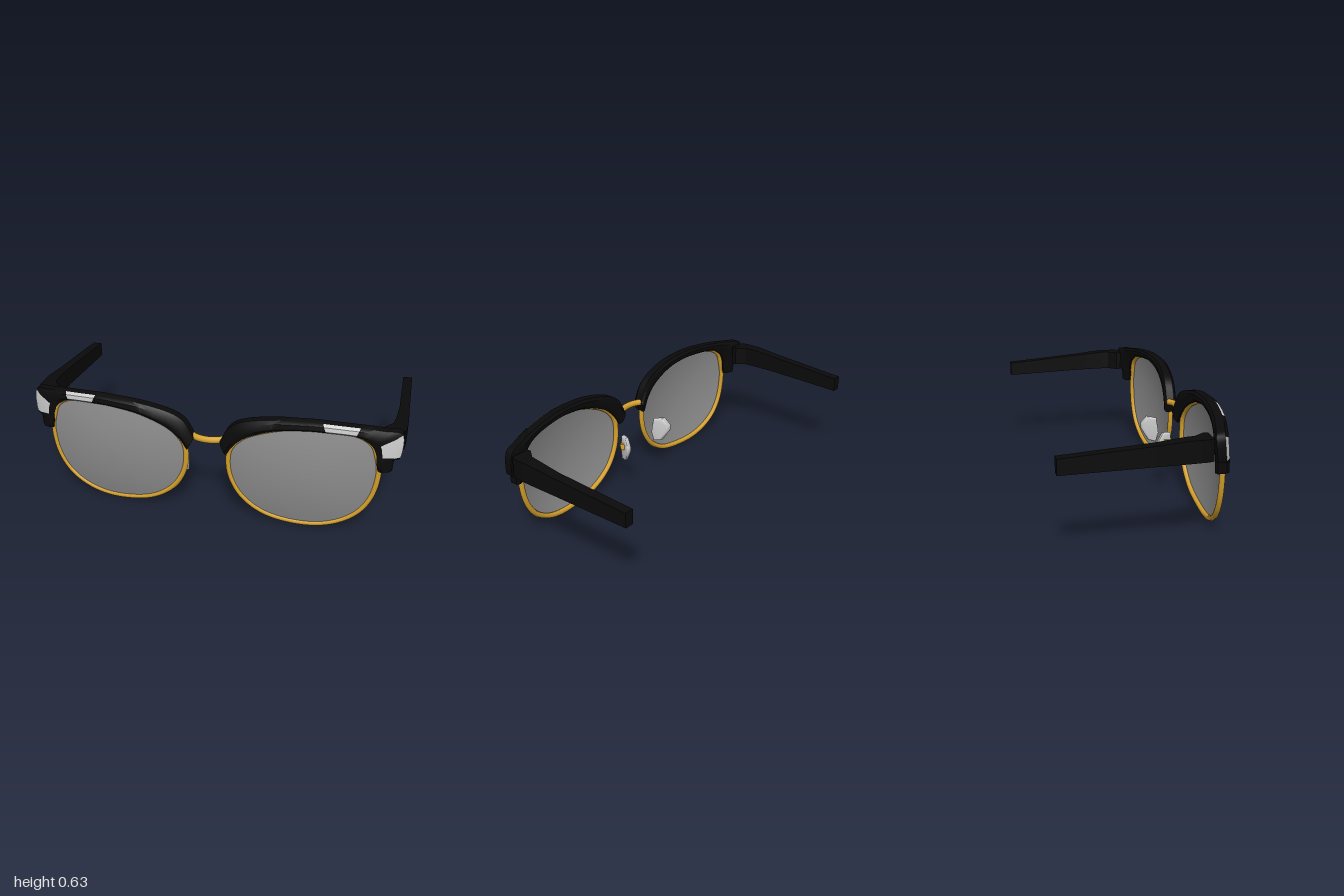
import * as THREE from 'three';
import { toCreasedNormals } from 'three/addons/utils/BufferGeometryUtils.js';

const mat = (color, extra = {}) => new THREE.MeshStandardMaterial({ color, ...extra });
const V = (x, y, z = 0) => new THREE.Vector3(x, y, z);

// Curved sheet that lens, rim and brow all follow
const sheet = (x, y) => 0.44 - 0.33 * (x - 0.42) ** 2 - 0.3 * (y - 0.35) ** 2;

function mesh(name, geometry, material) {
  const m = new THREE.Mesh(geometry, material);
  m.name = name;
  return m;
}

// Skin a list of closed rings; keep(i, k) chooses which quads are included
function loft(rings, crease, keep = () => true, caps = true) {
  const out = [];
  const tri = (...pts) => pts.forEach((p) => out.push(p.x, p.y, p.z));
  const n = rings[0].length;
  for (let i = 0; i < rings.length - 1; i++) {
    for (let k = 0; k < n; k++) {
      if (!keep(i, k)) continue;
      const a = rings[i][k], b = rings[i][(k + 1) % n];
      const d = rings[i + 1][k], c = rings[i + 1][(k + 1) % n];
      tri(a, d, c);
      tri(a, c, b);
    }
  }
  if (caps) {
    const first = rings[0], last = rings[rings.length - 1];
    for (let k = 1; k < n - 1; k++) {
      tri(first[0], first[k], first[k + 1]);
      tri(last[0], last[k + 1], last[k]);
    }
  }
  const g = new THREE.BufferGeometry();
  g.setAttribute('position', new THREE.Float32BufferAttribute(out, 3));
  return toCreasedNormals(g, crease);
}

const spline = (pts, closed = false) =>
  new THREE.CatmullRomCurve3(pts.map(([x, y]) => V(x, y)), closed, 'catmullrom', 0.5);

// Lens outline, counter-clockwise from the outer side
const outline = spline([
  [0.885, 0.36], [0.87, 0.46], [0.84, 0.53], [0.76, 0.58], [0.62, 0.597], [0.5, 0.597],
  [0.36, 0.572], [0.22, 0.515], [0.14, 0.44], [0.115, 0.36], [0.13, 0.24], [0.2, 0.125],
  [0.33, 0.045], [0.52, 0.018], [0.67, 0.04], [0.79, 0.11], [0.86, 0.22],
], true);

// Upper and lower edges of the brow, paired point by point
const browUpper = spline([
  [0.07, 0.45], [0.12, 0.54], [0.2, 0.59], [0.35, 0.625], [0.5, 0.635], [0.6, 0.635],
  [0.78, 0.62], [0.9, 0.602], [0.985, 0.58], [0.985, 0.46], [0.957, 0.45], [0.95, 0.385],
]);
const browLower = spline([
  [0.105, 0.38], [0.15, 0.45], [0.22, 0.51], [0.35, 0.565], [0.5, 0.588], [0.62, 0.588],
  [0.76, 0.575], [0.82, 0.545], [0.85, 0.515], [0.868, 0.47], [0.872, 0.43], [0.88, 0.385],
]);
const STEP = 4;

function browRings() {
  const section = [[0, -0.6], [0, 0.6], [0.25, 1], [0.75, 1], [1, 0.6], [1, -0.6], [0.75, -1], [0.25, -1]];
  const rings = [];
  const count = 11 * STEP;
  for (let i = 0; i <= count; i++) {
    const lo = browLower.getPoint(i / count), up = browUpper.getPoint(i / count);
    rings.push(section.map(([u, w]) => {
      const p = lo.clone().lerp(up, u);
      p.z = sheet(p.x, p.y) - 0.015 + 0.036 * w;
      return p;
    }));
  }
  return rings;
}

function lensGeometry() {
  const g = new THREE.RingGeometry(0.001, 1, 72, 8);
  const p = g.attributes.position;
  const center = V(0.5, 0.32);
  for (let i = 0; i < p.count; i++) {
    const r = Math.hypot(p.getX(i), p.getY(i));
    const t = (Math.atan2(p.getY(i), p.getX(i)) / (2 * Math.PI) + 1) % 1;
    const q = center.clone().lerp(outline.getPoint(t), r);
    p.setXYZ(i, q.x, q.y, sheet(q.x, q.y) - 0.008 * r * r);
  }
  g.computeVertexNormals();
  return g;
}

// Nose pad: rounded slab in the z-y plane, slanted outward toward the back
function padGeometry() {
  const s = new THREE.Shape();
  [[0.31, 0.328], [0.272, 0.335], [0.245, 0.298], [0.245, 0.272], [0.282, 0.21], [0.31, 0.205], [0.32, 0.25]]
    .forEach(([z, y], i) => (i ? s.lineTo(z, y) : s.moveTo(z, y)));
  const g = new THREE.ExtrudeGeometry(s, {
    depth: 0.012, bevelThickness: 0.012, bevelSize: 0.01, bevelSegments: 3,
  });
  // Turn the slab so its thickness runs along x
  g.rotateY(-Math.PI / 2).scale(-1, 1, 1);
  const p = g.attributes.position;
  for (let i = 0; i < p.count; i++) {
    p.setX(i, p.getX(i) + 0.14 + (0.31 - p.getZ(i)) * 0.5);
  }
  // The mirror reversed the corners, so swap two per triangle
  for (let i = 0; i < p.count; i += 3) {
    const a = V(0, 0).fromBufferAttribute(p, i + 1), b = V(0, 0).fromBufferAttribute(p, i + 2);
    p.setXYZ(i + 1, b.x, b.y, b.z);
    p.setXYZ(i + 2, a.x, a.y, a.z);
  }
  return toCreasedNormals(g, 0.9);
}

function buildSide(name) {
  const side = new THREE.Group();
  side.name = name;
  const black = mat(0x0a0a0a), gold = mat(0xd4a02c), grey = mat(0xcccccc);

  // Lens and metal rim
  side.add(mesh('lens', lensGeometry(), mat(0x8c8c8c, { side: THREE.DoubleSide })));
  const rimPath = new THREE.CatmullRomCurve3(
    outline.getPoints(51).slice(0, -1).map((p) => V(p.x, p.y, sheet(p.x, p.y) - 0.012)), true);
  side.add(mesh('rim', new THREE.TubeGeometry(rimPath, 96, 0.015, 8, true), gold));

  // Brow with two pale inlays on its front
  const rings = browRings();
  const inlay = (i, k) => {
    const seg = Math.floor(i / STEP);
    return (seg === 5 && k >= 1 && k <= 3) || (seg === 8 && k >= 2 && k <= 3);
  };
  side.add(mesh('brow', loft(rings, 0.7, (i, k) => !inlay(i, k)), black));
  side.add(mesh('browInlay', loft(rings, 0.7, inlay, false), grey));

  // Temple arm, thickened at the hinge: z, inner x, outer x, bottom y, top y
  const arm = [
    [0.275, 0.89, 0.99, 0.465, 0.573], [0.25, 0.89, 0.998, 0.465, 0.574],
    [0.2, 0.928, 1, 0.465, 0.574], [0.15, 0.935, 1, 0.464, 0.574],
    [0, 0.942, 0.995, 0.461, 0.56], [-0.45, 0.932, 0.982, 0.45, 0.528],
  ].map(([z, x0, x1, y0, y1]) => [V(x0, y0, z), V(x1, y0, z), V(x1, y1, z), V(x0, y1, z)]);
  side.add(mesh('temple', loft(arm, 0.3), black));

  // Nose pad and its metal stud
  side.add(mesh('nosePad', padGeometry(), grey));
  const stud = mesh('padStud', new THREE.BoxGeometry(0.03, 0.035, 0.035), gold);
  stud.position.set(0.172, 0.29, 0.285);
  stud.rotation.set(0.25, 0.45, 0);
  side.add(stud);
  return side;
}

export function createModel() {
  const model = new THREE.Group();
  model.name = 'sunglasses';
  const left = buildSide('leftSide');
  const right = buildSide('rightSide');
  right.scale.x = -1;
  model.add(left, right);

  // Bridge
  const path = new THREE.CatmullRomCurve3([
    V(-0.09, 0.45, 0.37), V(-0.05, 0.45, 0.392), V(0, 0.45, 0.4), V(0.05, 0.45, 0.392), V(0.09, 0.45, 0.37),
  ]);
  model.add(mesh('bridge', new THREE.TubeGeometry(path, 20, 0.018, 10), mat(0xd4a02c)));
  return model;
}
